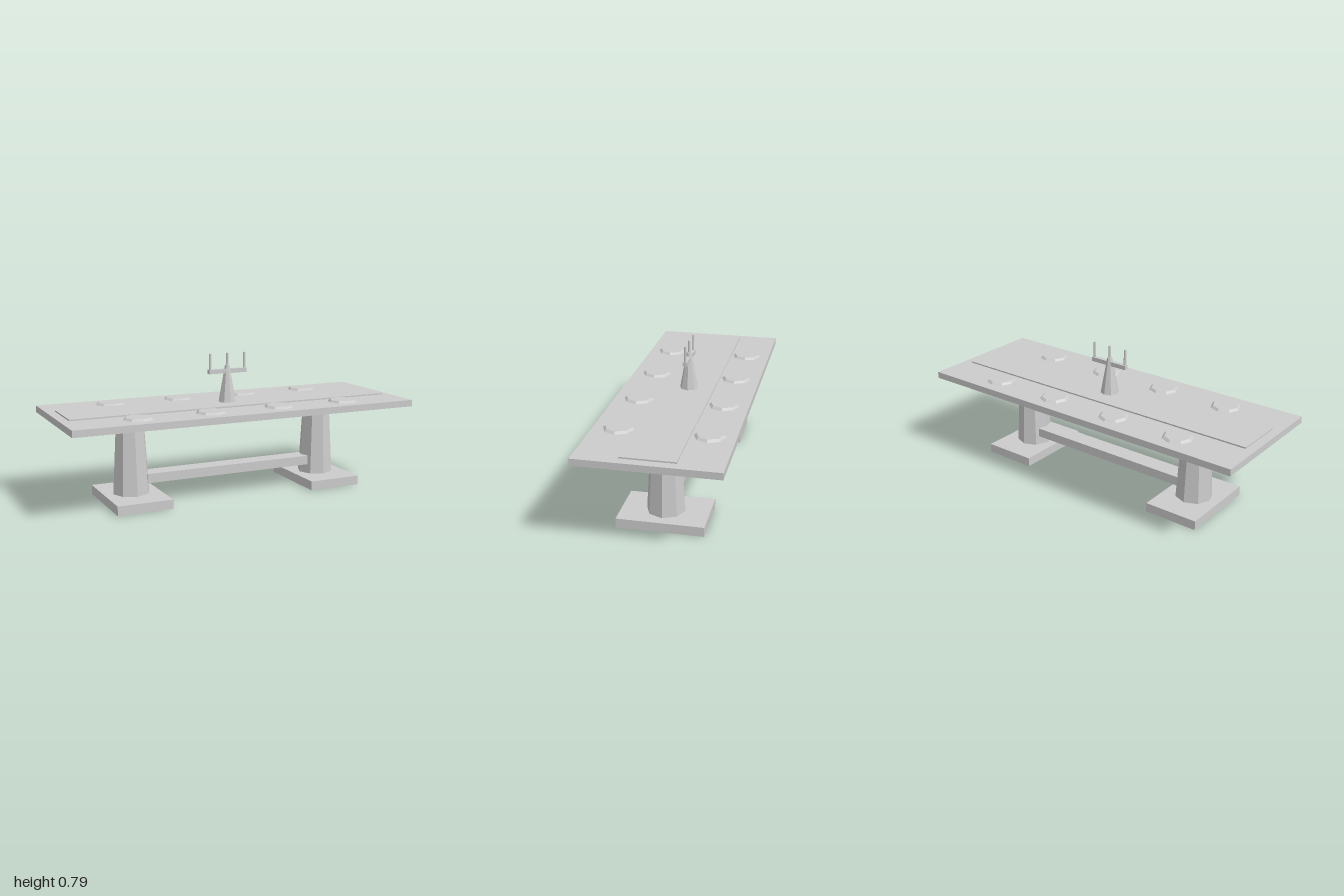
import * as THREE from 'three';

export function createModel() {
  const model = new THREE.Group();
  model.name = 'banquetTable';
  const stone = new THREE.MeshStandardMaterial({ color: 0xcccccc, flatShading: true });
  stone.name = 'light grey';

  const add = (name, geometry, x, y, z) => {
    const mesh = new THREE.Mesh(geometry, stone);
    mesh.name = name;
    mesh.position.set(x, y, z);
    model.add(mesh);
  };
  // Both helpers place a part by its bottom and top heights
  const box = (name, w, d, y0, y1, x = 0, z = 0) =>
    add(name, new THREE.BoxGeometry(w, y1 - y0, d), x, (y0 + y1) / 2, z);
  const taper = (name, rTop, rBottom, sides, y0, y1, x = 0, z = 0) =>
    add(name, new THREE.CylinderGeometry(rTop, rBottom, y1 - y0, sides), x, (y0 + y1) / 2, z);

  // Table top and runner
  box('tableTop', 2, 0.74, 0.468, 0.505);
  box('runner', 1.9, 0.282, 0.505, 0.513);

  // Two pedestals joined by a stretcher
  for (const x of [-0.58, 0.58]) {
    box('foot', 0.31, 0.464, 0, 0.052, x);
    taper('pedestal', 0.078, 0.103, 8, 0.052, 0.468, x);
  }
  box('stretcher', 1, 0.105, 0.105, 0.157);

  // Plates along both long sides
  for (const z of [-0.235, 0.235]) {
    for (const x of [-0.612, -0.205, 0.205, 0.612]) {
      taper('plate', 0.07, 0.083, 8, 0.505, 0.517, x, z);
    }
  }

  // Candelabrum
  taper('candleStem', 0.013, 0.052, 8, 0.51, 0.722);
  box('candleArm', 0.23, 0.024, 0.675, 0.699);
  for (const x of [-0.105, 0, 0.105]) taper('candle', 0.007, 0.007, 6, 0.699, 0.788, x);

  return model;
}
